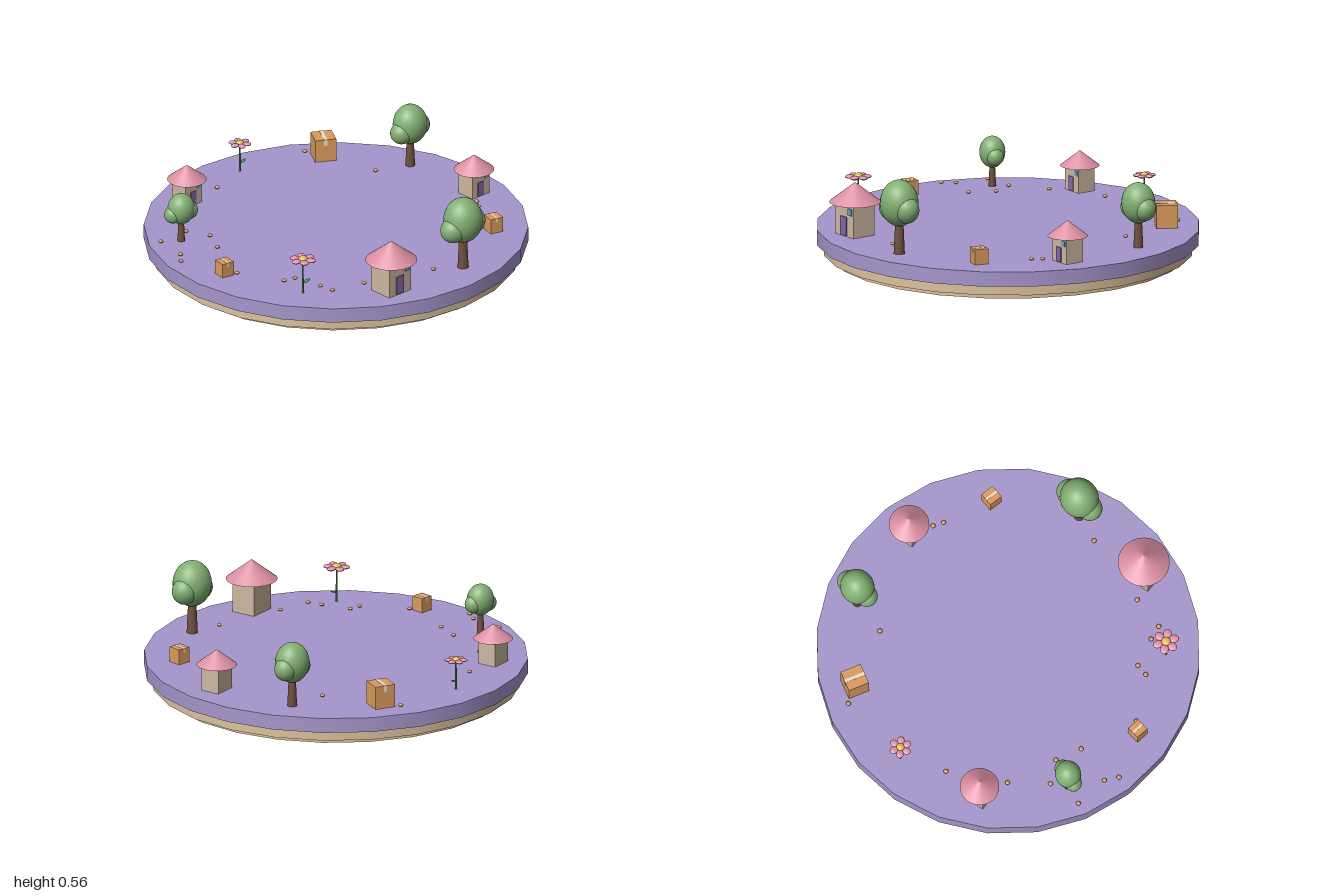
import * as THREE from 'three';

const mat = (color) => new THREE.MeshStandardMaterial({ color });
const M = {
  ground: mat(0xa596cc), base: mat(0xdcc19d), wall: mat(0xcdb8a0), roof: mat(0xdb8fa3),
  door: mat(0x8468a8), glass: mat(0x62a3c6), bark: mat(0x70503f), leaf: mat(0x82b073),
  crate: mat(0xdb9a5c), tape: mat(0xeadfcb), petal: mat(0xe295ae), pollen: mat(0xe6c052),
  stem: mat(0x4f8f4c), pebble: mat(0xd69a58),
};
const GROUND = 0.162;

function add(parent, name, geometry, material, x = 0, y = 0, z = 0) {
  const mesh = new THREE.Mesh(geometry, material);
  mesh.name = name;
  mesh.position.set(x, y, z);
  parent.add(mesh);
  return mesh;
}

// Group standing on the ground at x, z, turned about y and scaled
function place(parent, name, x, z, turn, scale) {
  const g = new THREE.Group();
  g.name = name;
  g.position.set(x, GROUND, z);
  g.rotation.y = turn;
  g.scale.setScalar(scale);
  parent.add(g);
  return g;
}

const ball = (rx, ry, rz) => new THREE.SphereGeometry(1, 24, 16).scale(rx, ry, rz);
const box = (w, h, d) => new THREE.BoxGeometry(w, h, d);

// Hut with a conical roof, door and window on its front
function house(root, x, z, turn, s) {
  const g = place(root, 'house', x, z, turn, s);
  add(g, 'walls', box(0.155, 0.18, 0.137), M.wall, 0, 0.09, 0);
  add(g, 'roof', new THREE.ConeGeometry(0.135, 0.106, 32), M.roof, 0, 0.227, 0);
  add(g, 'door', box(0.05, 0.1, 0.012), M.door, -0.005, 0.055, 0.069);
  add(g, 'window', box(0.034, 0.036, 0.01), M.glass, 0.049, 0.137, 0.069);
}

// Tapered trunk with one large and two side crowns
function tree(root, x, z, turn, s) {
  const g = place(root, 'tree', x, z, turn, s);
  add(g, 'trunk', new THREE.CylinderGeometry(0.02, 0.029, 0.2, 16), M.bark, 0, 0.1, 0);
  add(g, 'crown', ball(0.105, 0.123, 0.1), M.leaf, 0, 0.27, 0);
  add(g, 'rightCrown', ball(0.07, 0.068, 0.066), M.leaf, -0.066, 0.232, 0.012);
  add(g, 'leftCrown', ball(0.07, 0.072, 0.066), M.leaf, 0.064, 0.246, -0.012);
}

// Parcel with a strip of tape wrapped over front, top and back
function crate(root, x, z, turn, size) {
  const g = place(root, 'crate', x, z, turn, size);
  add(g, 'crateBody', box(1, 1.1, 1), M.crate, 0, 0.57, 0);
  add(g, 'topTape', box(0.16, 0.02, 1.03), M.tape, 0, 1.125, 0);
  for (const side of [-1, 1]) {
    add(g, 'endTape', box(0.16, 0.3, 0.02), M.tape, 0, 0.98, side * 0.505);
  }
}

// Six-petalled flower lying flat on a thin stem with one leaf
function flower(root, x, z, turn, s, height) {
  const g = place(root, 'flower', x, z, turn, 1);
  add(g, 'stem', new THREE.CylinderGeometry(0.004, 0.005, height, 8), M.stem, 0, height / 2, 0);
  const leaf = add(g, 'leaf', ball(0.024 * s, 0.004, 0.012 * s), M.stem, 0.024 * s, height * 0.32, 0);
  leaf.rotation.z = 0.25;
  for (let i = 0; i < 6; i++) {
    const a = (i / 6) * Math.PI * 2;
    const r = 0.044 * s;
    const p = add(g, 'petal', ball(0.026 * s, 0.01 * s, 0.022 * s), M.petal,
      Math.cos(a) * r, height, Math.sin(a) * r);
    p.rotation.y = -a;
  }
  add(g, 'flowerCentre', ball(0.024 * s, 0.015 * s, 0.024 * s), M.pollen, 0, height + 0.004, 0);
}

export function createModel() {
  const root = new THREE.Group();
  root.name = 'villageIsland';

  // Stepped round platform: radius, bottom, top
  for (const [name, r, y0, y1, m] of [
    ['groundDisc', 1, 0.083, GROUND, M.ground],
    ['middleDisc', 0.965, 0.028, 0.083, M.base],
    ['footDisc', 0.92, 0, 0.028, M.base],
  ]) {
    add(root, name, new THREE.CylinderGeometry(r, r, y1 - y0, 24), m, 0, (y0 + y1) / 2, 0);
  }

  house(root, -0.12, 0.81, 0.25, 1);
  house(root, 0.82, 0, 0.25, 0.78);
  house(root, -0.54, -0.625, 0.25, 0.76);

  tree(root, 0.34, 0.75, 0.05, 1);
  tree(root, 0.69, -0.45, 0.05, 0.88);
  tree(root, -0.79, -0.235, -0.25, 0.68);

  crate(root, 0.34, -0.75, -0.28, 0.112);
  crate(root, 0.69, 0.445, 0, 0.074);
  crate(root, -0.79, 0.23, 0.08, 0.07);

  flower(root, -0.54, 0.62, 0.2, 1, 0.192);
  flower(root, -0.12, -0.815, 0.3, 0.86, 0.16);

  // Pebbles scattered between the objects
  const pebbles = [
    [0.28, -0.84], [-0.33, -0.68], [-0.58, -0.47], [0.49, -0.46], [-0.725, -0.3],
    [-0.9, -0.255], [-0.64, -0.195], [-0.885, -0.07], [-0.675, -0.055], [-0.92, 0],
    [0.77, 0.12], [0.75, 0.175], [-0.735, 0.265], [-0.565, 0.465], [-0.5, 0.465],
    [-0.43, 0.61], [-0.4, 0.685], [-0.215, 0.69], [0.18, 0.72],
  ];
  const stone = new THREE.SphereGeometry(1, 12, 8).scale(0.013, 0.008, 0.013);
  for (const [x, z] of pebbles) add(root, 'pebble', stone, M.pebble, x, 0.174, z);

  return root;
}
